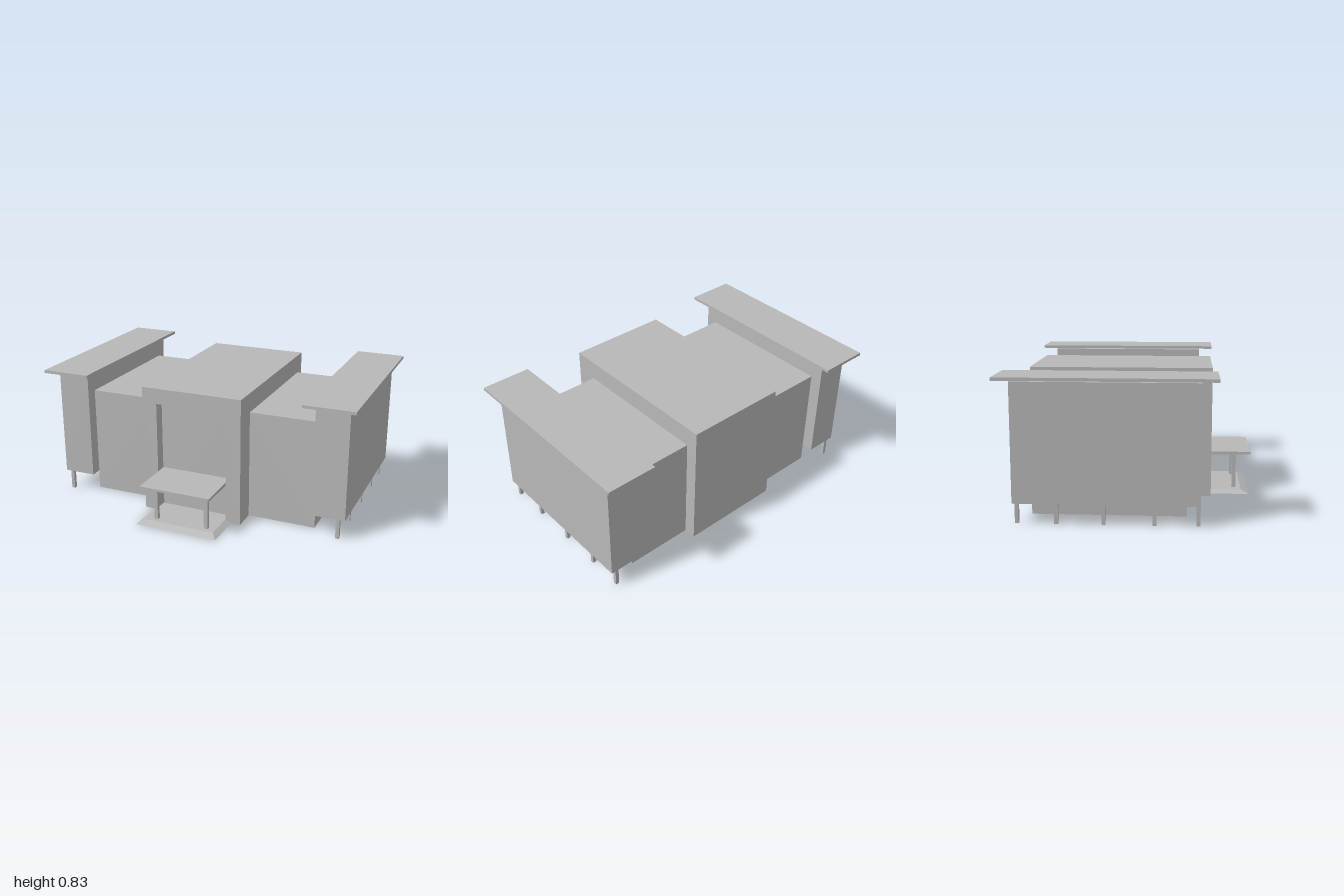
import * as THREE from 'three';

const wallGrey = new THREE.MeshStandardMaterial({ color: 0xb8b8b8, side: THREE.DoubleSide });
wallGrey.name = 'wall grey';

function add(parent, name, geometry) {
  const mesh = new THREE.Mesh(geometry, wallGrey);
  mesh.name = name;
  parent.add(mesh);
  return mesh;
}

// Solid box given by its limits
function block(parent, name, x0, x1, y0, y1, z0, z1) {
  const g = new THREE.BoxGeometry(x1 - x0, y1 - y0, z1 - z0);
  g.translate((x0 + x1) / 2, (y0 + y1) / 2, (z0 + z1) / 2);
  return add(parent, name, g);
}

const outline = (pts) => new THREE.ShapeGeometry(new THREE.Shape(pts.map((p) => new THREE.Vector2(...p))));
const rect = (a0, a1, b0, b1) => [[a0, b0], [a1, b0], [a1, b1], [a0, b1]];

// Thin wall across z, points are (x, y); the back ones are turned outward
function wallZ(parent, name, z, pts, back = false) {
  const g = back ? outline(pts.map(([x, y]) => [-x, y])).rotateY(Math.PI) : outline(pts);
  add(parent, name, g.translate(0, 0, z));
}

// Thin wall across x, points are (z, y), facing -x or +x
function wallX(parent, name, x, pts, plus = false) {
  const g = plus ? outline(pts.map(([z, y]) => [-z, y])).rotateY(Math.PI / 2) : outline(pts).rotateY(-Math.PI / 2);
  add(parent, name, g.translate(x, 0, 0));
}

// Horizontal sheet facing up
function sheet(parent, name, y, x0, x1, z0, z1) {
  add(parent, name, outline(rect(x0, x1, -z1, -z0)).rotateX(-Math.PI / 2).translate(0, y, 0));
}

const BASE = 0.003;
const hall = { x: 0.32, top: 0.8, back: -0.635, front: 0.475 };
const wing = { x: 0.745, top: 0.68, back: -0.56, front: 0.33 };
const tower = { x: 0.948, base: 0.122, top: 0.8, back: -0.635, front: 0.405 };
const door = { x: 0.227, top: 0.703, z: 0.405 };

// Everything on the right side; the left is its mirror image
function createSide() {
  const side = new THREE.Group();

  // Hall flank, open where the wing joins
  wallX(side, 'hallFlank', -hall.x, [
    [hall.back, BASE], [wing.back, BASE], [wing.back, wing.top], [wing.front, wing.top],
    [wing.front, BASE], [hall.front, BASE], [hall.front, hall.top], [hall.back, hall.top],
  ]);

  // Wing between hall and tower, open underneath
  const wingFace = rect(-wing.x, -hall.x, BASE, wing.top);
  wallZ(side, 'wingFrontWall', wing.front, wingFace);
  wallZ(side, 'wingBackWall', wing.back, wingFace, true);
  sheet(side, 'wingRoof', wing.top, -wing.x, -hall.x, wing.back, wing.front);
  wallX(side, 'wingEndWall', -wing.x, rect(wing.back, wing.front, BASE, tower.base));

  // Raised tower with an opening towards the wing
  const towerFace = rect(-tower.x, -wing.x, tower.base, tower.top);
  wallZ(side, 'towerFrontWall', tower.front, towerFace);
  wallZ(side, 'towerBackWall', tower.back, towerFace, true);
  wallX(side, 'towerOuterWall', -tower.x, rect(tower.back, tower.front, tower.base, tower.top));
  wallX(side, 'towerInnerWall', -wing.x, [
    [tower.back, tower.base], [wing.back, tower.base], [wing.back, wing.top], [wing.front, wing.top],
    [wing.front, tower.base], [tower.front, tower.base], [tower.front, tower.top], [tower.back, tower.top],
  ], true);
  sheet(side, 'towerTop', tower.top, -tower.x, -wing.x, tower.back, tower.front);

  // Overhanging slab and supporting legs
  block(side, 'towerRoofSlab', -1, -0.692, 0.811, 0.829, -0.72, 0.495);
  for (const z of [0.393, 0.15, -0.132, -0.395, -0.615]) {
    block(side, 'towerLeg', -0.916, -0.894, 0, tower.base + 0.002, z - 0.011, z + 0.011);
  }

  // Entrance reveal and canopy post
  wallX(side, 'entranceReveal', -door.x, rect(door.z, hall.front, BASE, door.top), true);
  block(side, 'canopyPost', -0.177, -0.153, 0, 0.25, 0.61, 0.634);
  return side;
}

export function createModel() {
  const model = new THREE.Group();
  model.name = 'building';

  const right = createSide();
  right.name = 'rightSide';
  const left = createSide();
  left.name = 'leftSide';
  left.scale.x = -1;
  model.add(right, left);

  // Central hall with a notched front wall
  wallZ(model, 'hallFrontWall', hall.front, [
    [-hall.x, BASE], [-door.x, BASE], [-door.x, door.top], [door.x, door.top],
    [door.x, BASE], [hall.x, BASE], [hall.x, hall.top], [-hall.x, hall.top],
  ]);
  wallZ(model, 'hallBackWall', hall.back, rect(-hall.x, hall.x, BASE, hall.top), true);
  sheet(model, 'hallRoof', hall.top, -hall.x, hall.x, hall.back, hall.front);
  wallZ(model, 'entranceWall', door.z, rect(-door.x, door.x, BASE, door.top));
  sheet(model, 'entranceHead', door.top, -door.x, door.x, door.z, hall.front);

  // Canopy slab, slightly thinner at its front edge
  const canopy = block(model, 'canopy', -0.225, 0.225, 0.243, 0.265, 0.345, 0.72).geometry;
  const c = canopy.attributes.position;
  for (let i = 0; i < c.count; i++) {
    if (c.getZ(i) > 0.6 && c.getY(i) < 0.25) c.setY(i, 0.25);
  }
  canopy.computeVertexNormals();

  // Entrance ramp with sloped front and sides
  const ramp = block(model, 'ramp', -0.26, 0.26, BASE, 0.023, 0.415, 0.712).geometry;
  const r = ramp.attributes.position;
  for (let i = 0; i < r.count; i++) {
    if (r.getY(i) < 0.01) continue;
    r.setX(i, Math.sign(r.getX(i)) * 0.225);
    if (r.getZ(i) > 0.6) r.setZ(i, 0.665);
  }
  ramp.computeVertexNormals();

  return model;
}
